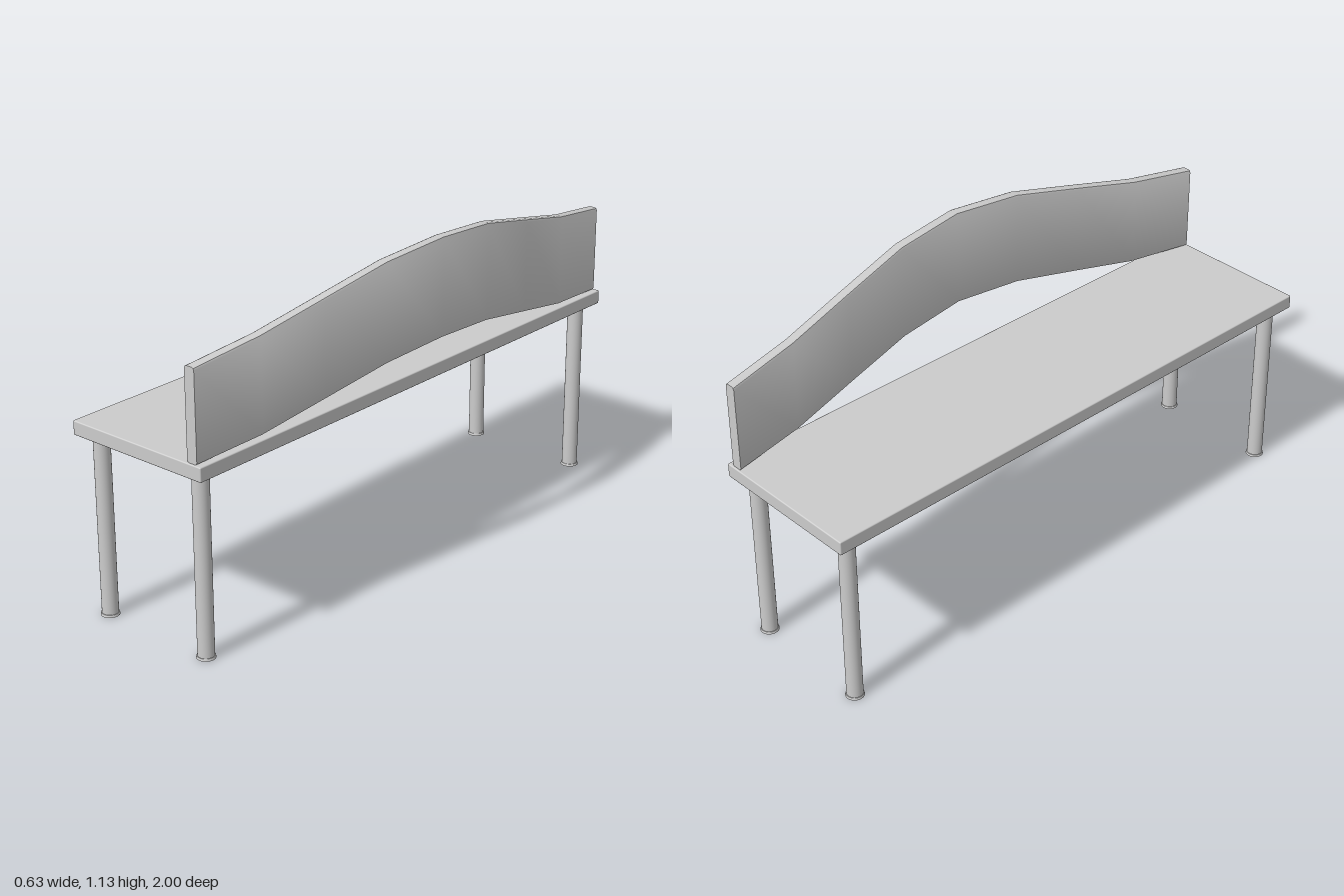
import * as THREE from 'three';
import { RoundedBoxGeometry } from 'three/addons/geometries/RoundedBoxGeometry.js';
import { toCreasedNormals } from 'three/addons/utils/BufferGeometryUtils.js';

const material = new THREE.MeshStandardMaterial({ color: 0xcccccc });

function addMesh(parent, name, geometry, x = 0, y = 0, z = 0) {
  const mesh = new THREE.Mesh(geometry, material);
  mesh.name = name;
  mesh.position.set(x, y, z);
  parent.add(mesh);
  return mesh;
}

// Curved board: a softened rectangular section swept from +z to -z
function backrestGeometry() {
  // z, inner x, outer x, bottom y, top y for one half
  const half = [
    [0.993, 0.166, 0.205, 0.662, 0.965],
    [0.745, 0.195, 0.233, 0.683, 1.0],
    [0.5, 0.227, 0.265, 0.73, 1.055],
    [0.25, 0.258, 0.296, 0.777, 1.11],
    [0, 0.275, 0.313, 0.795, 1.13],
  ];
  const mirrored = half.slice(0, -1).reverse().map(([z, ...rest]) => [-z, ...rest]);
  const stations = [...half, ...mirrored];
  const r = 0.009, k = r * 0.3;
  const positions = [];
  for (const [z, x0, x1, y0, y1] of stations) {
    const section = [
      [x0 + r, y0], [x1 - r, y0], [x1 - k, y0 + k], [x1, y0 + r],
      [x1, y1 - r], [x1 - k, y1 - k], [x1 - r, y1], [x0 + r, y1],
      [x0 + k, y1 - k], [x0, y1 - r], [x0, y0 + r], [x0 + k, y0 + k],
    ];
    for (const [x, y] of section) positions.push(x, y, z);
  }
  const n = 12, last = (stations.length - 1) * n, index = [];
  for (let s = 0; s < last; s += n) {
    for (let i = 0; i < n; i++) {
      const j = (i + 1) % n;
      index.push(s + i, s + n + i, s + j, s + j, s + n + i, s + n + j);
    }
  }
  // End caps
  for (let i = 1; i < n - 1; i++) {
    index.push(0, i, i + 1, last, last + i + 1, last + i);
  }
  const geometry = new THREE.BufferGeometry();
  geometry.setAttribute('position', new THREE.Float32BufferAttribute(positions, 3));
  geometry.setIndex(index);
  return toCreasedNormals(geometry, Math.PI / 7);
}

export function createModel() {
  const bench = new THREE.Group();
  bench.name = 'bench';

  // Seat slab
  addMesh(bench, 'seat', new RoundedBoxGeometry(0.54, 0.048, 2, 2, 0.004), -0.045, 0.639, 0);

  // Arched backrest
  addMesh(bench, 'backrest', backrestGeometry());

  // Round legs with thin foot discs
  const legGeometry = new THREE.CylinderGeometry(0.027, 0.027, 0.615, 32);
  const footGeometry = new THREE.CylinderGeometry(0.029, 0.031, 0.008, 32);
  const legs = [
    ['leftOuterLeg', 0.164, 0.94], ['leftInnerLeg', 0.172, -0.933],
    ['rightOuterLeg', -0.257, 0.94], ['rightInnerLeg', -0.257, -0.933],
  ];
  for (const [name, x, z] of legs) {
    const leg = new THREE.Group();
    leg.name = name;
    leg.position.set(x, 0, z);
    addMesh(leg, 'post', legGeometry, 0, 0.3115, 0);
    addMesh(leg, 'foot', footGeometry, 0, 0.004, 0);
    bench.add(leg);
  }
  return bench;
}
